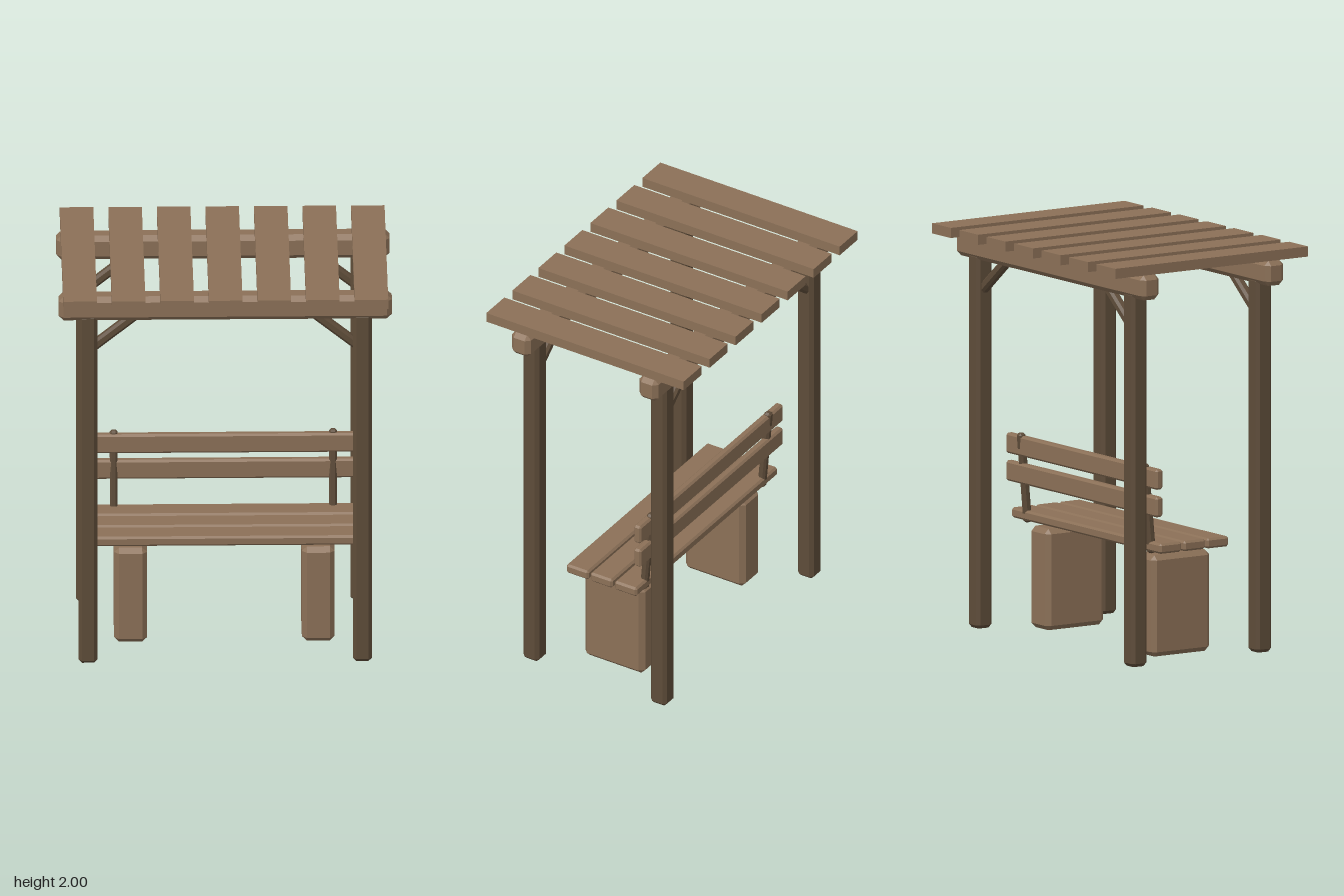
import * as THREE from 'three';
import { ConvexGeometry } from 'three/addons/geometries/ConvexGeometry.js';

// Box with all edges cut at 45 degrees: three points at each corner
function chamferBox(w, h, d, c) {
  const points = [];
  for (const sx of [-1, 1]) for (const sy of [-1, 1]) for (const sz of [-1, 1]) {
    const x = w / 2, y = h / 2, z = d / 2;
    points.push(
      new THREE.Vector3(sx * x, sy * (y - c), sz * (z - c)),
      new THREE.Vector3(sx * (x - c), sy * y, sz * (z - c)),
      new THREE.Vector3(sx * (x - c), sy * (y - c), sz * z)
    );
  }
  return new ConvexGeometry(points);
}

export function createModel() {
  const model = new THREE.Group();
  model.name = 'coveredBench';

  const plankWood = new THREE.MeshStandardMaterial({ color: 0x8b7057 });
  plankWood.name = 'plankWood';
  const postWood = new THREE.MeshStandardMaterial({ color: 0x5e4c39 });
  postWood.name = 'postWood';

  function add(name, geometry, material, x, y, z) {
    const mesh = new THREE.Mesh(geometry, material);
    mesh.name = name;
    mesh.position.set(x, y, z);
    model.add(mesh);
    return mesh;
  }

  // Posts, long beams and corner braces
  const postGeo = chamferBox(0.092, 1.85, 0.092, 0.017);
  const beamGeo = chamferBox(1.62, 0.125, 0.11, 0.024);
  const braceGeo = chamferBox(0.3, 0.048, 0.048, 0.012);
  for (const z of [-0.367, 0.367]) {
    add('roofBeam', beamGeo, plankWood, 0, 1.889, z);
    for (const side of [-1, 1]) {
      add('post', postGeo, postWood, side * 0.667, 0.93, z);
      const brace = add('brace', braceGeo, postWood, side * 0.535, 1.763, z);
      brace.rotation.z = -side * 0.68;
    }
  }

  // Roof boards
  const boardGeo = new THREE.BoxGeometry(0.163, 0.05, 1.136);
  for (let i = -3; i <= 3; i++) add('roofBoard', boardGeo, plankWood, i * 0.236, 1.975, 0);

  // Seat planks
  const seatGeo = chamferBox(1.285, 0.05, 0.128, 0.01);
  for (const z of [-0.138, 0.002, 0.14]) add('seatPlank', seatGeo, plankWood, 0, 0.56, z);

  // Backrest planks
  const backGeo = chamferBox(1.3, 0.1, 0.042, 0.01);
  for (const y of [0.769, 0.905]) add('backPlank', backGeo, plankWood, 0, y, -0.21);

  // Seat blocks and leaning backrest bars
  const blockGeo = chamferBox(0.16, 0.5, 0.345, 0.024);
  const barGeo = chamferBox(0.038, 0.445, 0.038, 0.01);
  for (const side of [-1, 1]) {
    add('seatBlock', blockGeo, plankWood, side * 0.456, 0.257, 0.001);
    const bar = add('backBar', barGeo, postWood, side * 0.533, 0.747, -0.199);
    bar.rotation.x = -0.09;
  }

  return model;
}
